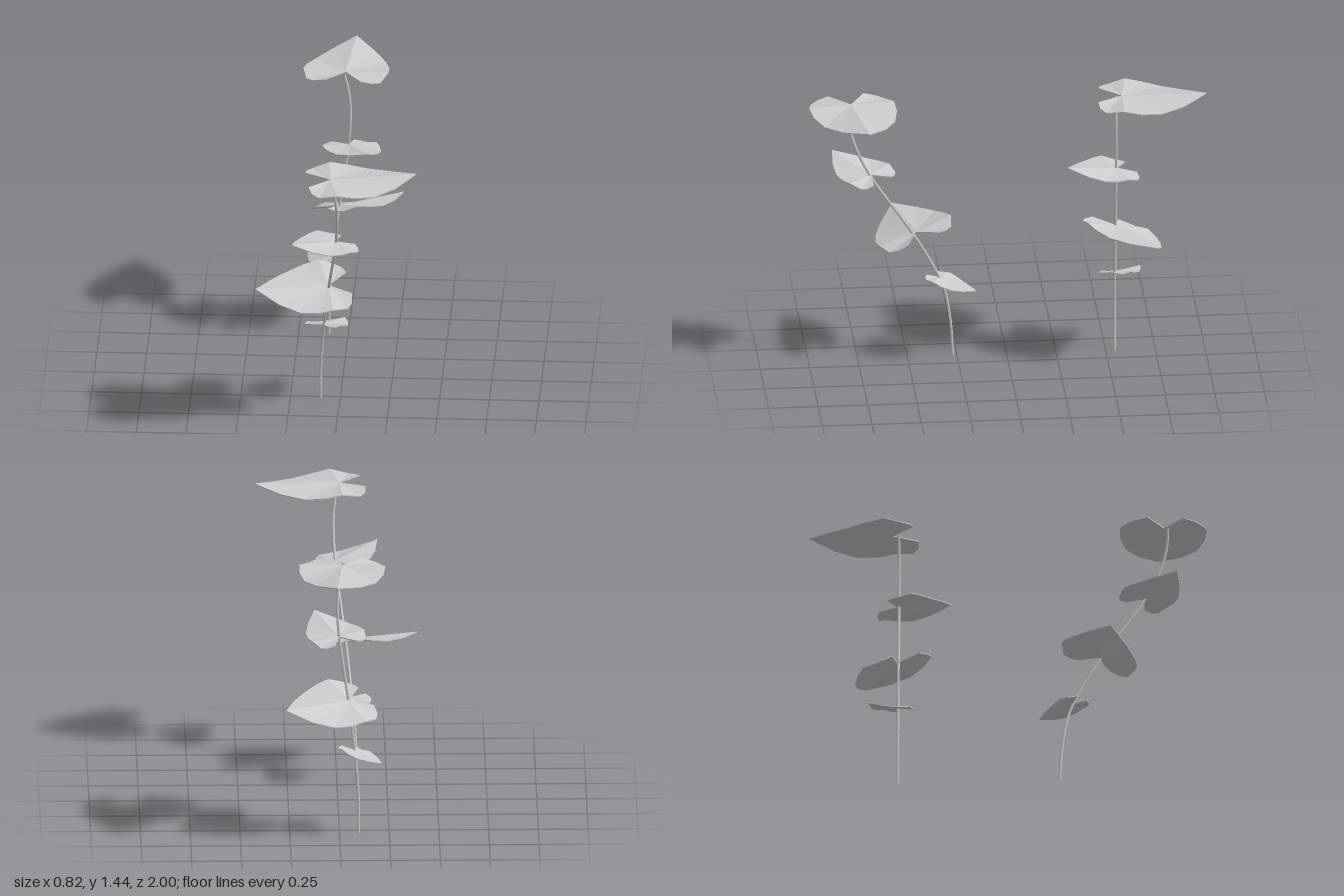
import * as THREE from 'three';

// Sideways sway shared by both stems: [x, y]
const SWAY = [[-0.097, 0], [-0.095, 0.2], [-0.08, 0.4], [-0.045, 0.7], [0, 1.02], [0.011, 1.2], [0.003, 1.32], [-0.02, 1.42]];
const FRONT_Z = [0.27, 0.284, 0.325, 0.48, 0.685, 0.77, 0.803, 0.81];

// Half outline of a heart-shaped leaf, notch to tip: [along, across, lift]
const HALF = [
  [-0.118, 0.09, 0.003], [-0.107, 0.148, -0.01], [-0.075, 0.187, -0.016], [0.015, 0.215, 0.003],
  [0.1, 0.21, -0.013], [0.2, 0.178, -0.024], [0.31, 0.108, -0.013],
];
const TIP = [0.425, 0, 0.015];
const THICKNESS = 0.005;

// Leaves: origin, tip offset in plan [dx, dz], plane slope [per x, per z]
const FRONT_LEAVES = [
  { at: [-0.08, 0.437, 0.335], tip: [0.1, -0.175], slope: [0, 0.26] },
  { at: [-0.047, 0.702, 0.46], tip: [-0.363, 0.09], slope: [-0.06, -0.3] },
  { at: [0, 1.042, 0.69], tip: [-0.212, 0.18], slope: [-0.17, 0.04] },
  { at: [-0.02, 1.422, 0.79], tip: [0.428, -0.06], slope: [0, 0] },
];
const BACK_LEAVES = [
  { at: [-0.078, 0.437, -0.545], tip: [-0.132, -0.14], slope: [0.31, -0.06] },
  { at: [-0.047, 0.702, -0.55], tip: [0.317, -0.18], slope: [0.14, 0.3] },
  { at: [0.002, 1.037, -0.55], tip: [0.12, 0.26], slope: [0, 0.19] },
  { at: [-0.016, 1.422, -0.575], tip: [0.036, -0.425], slope: [0, 0] },
];

const stemMaterial = new THREE.MeshStandardMaterial({ color: 0xcccccc });
const leafMaterial = new THREE.MeshStandardMaterial({ color: 0xcccccc, flatShading: true });

// Thin blade: a fan from the notch above and below, joined by a rim
function makeLeaf({ at, tip, slope }) {
  const length = Math.hypot(...tip);
  const scale = length / TIP[0];
  const [dx, dz] = tip.map((v) => v / length);
  const mirrored = HALF.map(([t, w, y]) => [t, -w, y]).reverse();
  const outline = [[0, 0, 0], ...HALF, TIP, ...mirrored];
  const n = outline.length;
  const positions = [];
  for (const drop of [0, THICKNESS]) {
    for (const [t, w, y] of outline) {
      const x = (t * dx - w * dz) * scale;
      const z = (t * dz + w * dx) * scale;
      positions.push(x, y * scale + slope[0] * x + slope[1] * z - drop, z);
    }
  }
  const index = [];
  for (let i = 0; i < n; i++) {
    const j = (i + 1) % n;
    if (i > 0 && j > 0) index.push(0, i, j, n, n + j, n + i);
    index.push(i, i + n, j + n, i, j + n, j);
  }
  const geometry = new THREE.BufferGeometry();
  geometry.setAttribute('position', new THREE.Float32BufferAttribute(positions, 3));
  geometry.setIndex(index);
  geometry.computeVertexNormals();
  const leaf = new THREE.Mesh(geometry, leafMaterial);
  leaf.position.set(...at);
  leaf.name = 'leaf';
  return leaf;
}

// One curved stem with its four leaves
function makeSprig(name, zAt, leaves) {
  const sprig = new THREE.Group();
  sprig.name = name;
  const path = new THREE.CatmullRomCurve3(SWAY.map(([x, y], i) => new THREE.Vector3(x, y, zAt(i))));
  const stem = new THREE.Mesh(new THREE.TubeGeometry(path, 32, 0.007, 8), stemMaterial);
  stem.name = 'stem';
  sprig.add(stem, ...leaves.map(makeLeaf));
  return sprig;
}

export function createModel() {
  const model = new THREE.Group();
  model.name = 'leafySprigs';
  model.add(
    makeSprig('frontSprig', (i) => FRONT_Z[i], FRONT_LEAVES),
    makeSprig('backSprig', () => -0.545, BACK_LEAVES),
  );
  return model;
}
